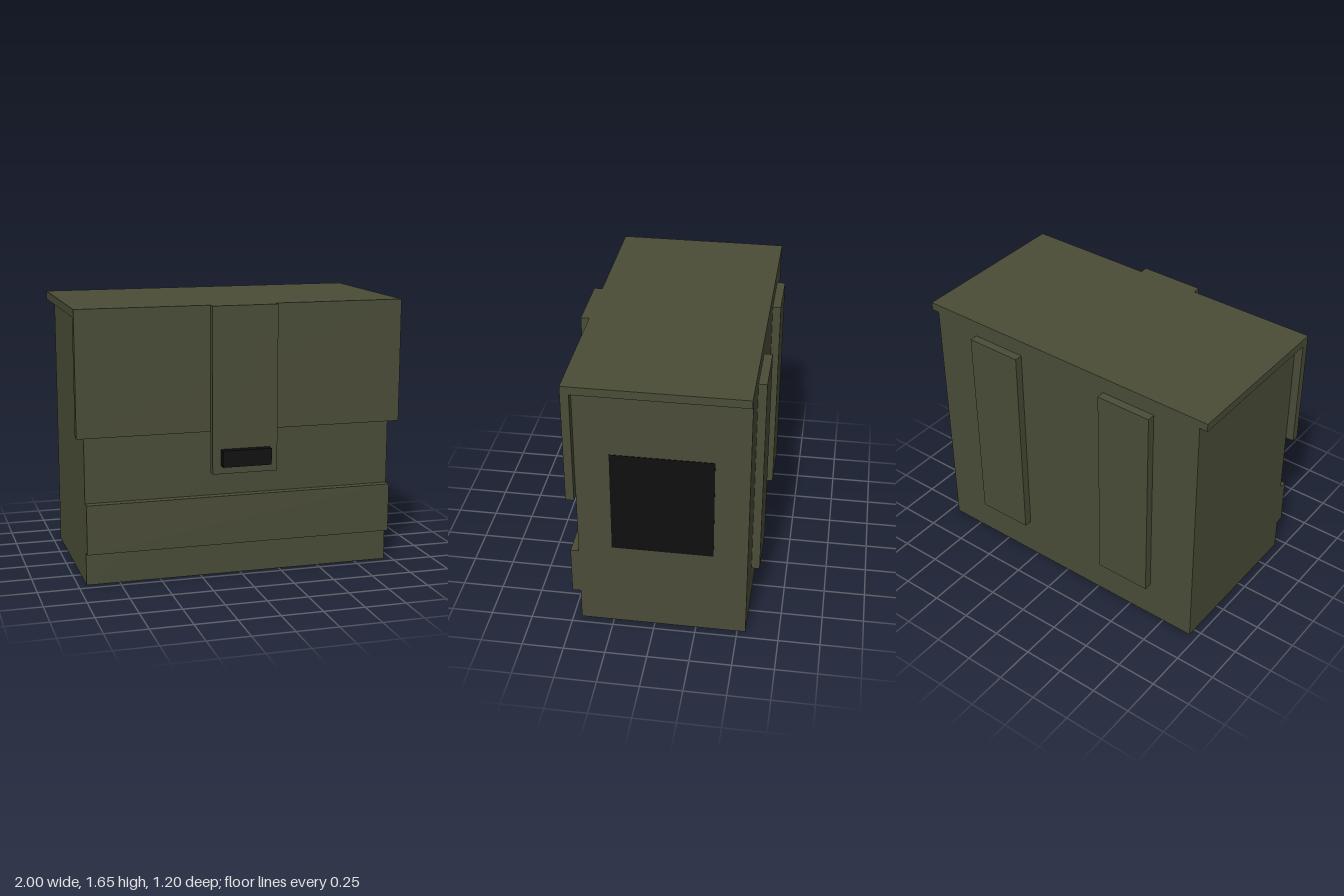
import * as THREE from 'three';

const olive = new THREE.MeshStandardMaterial({ color: 0x4a4c37 });
olive.name = 'olive canvas';
const black = new THREE.MeshStandardMaterial({ color: 0x0f0f0f });
black.name = 'black';

// Box given by its extents along each axis
function box(name, material, [x0, x1], [y0, y1], [z0, z1]) {
  const mesh = new THREE.Mesh(new THREE.BoxGeometry(x1 - x0, y1 - y0, z1 - z0), material);
  mesh.position.set((x0 + x1) / 2, (y0 + y1) / 2, (z0 + z1) / 2);
  mesh.name = name;
  return mesh;
}

export function createModel() {
  const bag = new THREE.Group();
  bag.name = 'satchel';

  // Main compartment with a raised band across the front
  bag.add(box('body', olive, [-0.95, 0.95], [0, 1.6], [-0.55, 0.45]));
  bag.add(box('frontBand', olive, [-0.95, 0.95], [0.2, 0.5], [0.45, 0.5]));

  // Lid folding over into the front flap
  bag.add(box('lid', olive, [-1, 1], [1.6, 1.65], [-0.55, 0.45]));
  bag.add(box('frontFlap', olive, [-1, 1], [0.9, 1.65], [0.45, 0.5]));

  // Closing strap and buckle
  bag.add(box('closingStrap', olive, [-0.2, 0.2], [0.65, 1.65], [0.5, 0.55]));
  bag.add(box('buckle', black, [-0.15, 0.15], [0.7, 0.8], [0.55, 0.6]));

  // Shoulder straps on the back
  for (const [name, x] of [['leftBackStrap', 0.475], ['rightBackStrap', -0.475]]) {
    bag.add(box(name, olive, [x - 0.175, x + 0.175], [0.25, 1.55], [-0.6, -0.55]));
  }

  // Dark patch on one side only
  bag.add(box('sidePatch', black, [0.95, 0.953], [0.55, 1.2], [-0.35, 0.25]));

  return bag;
}
